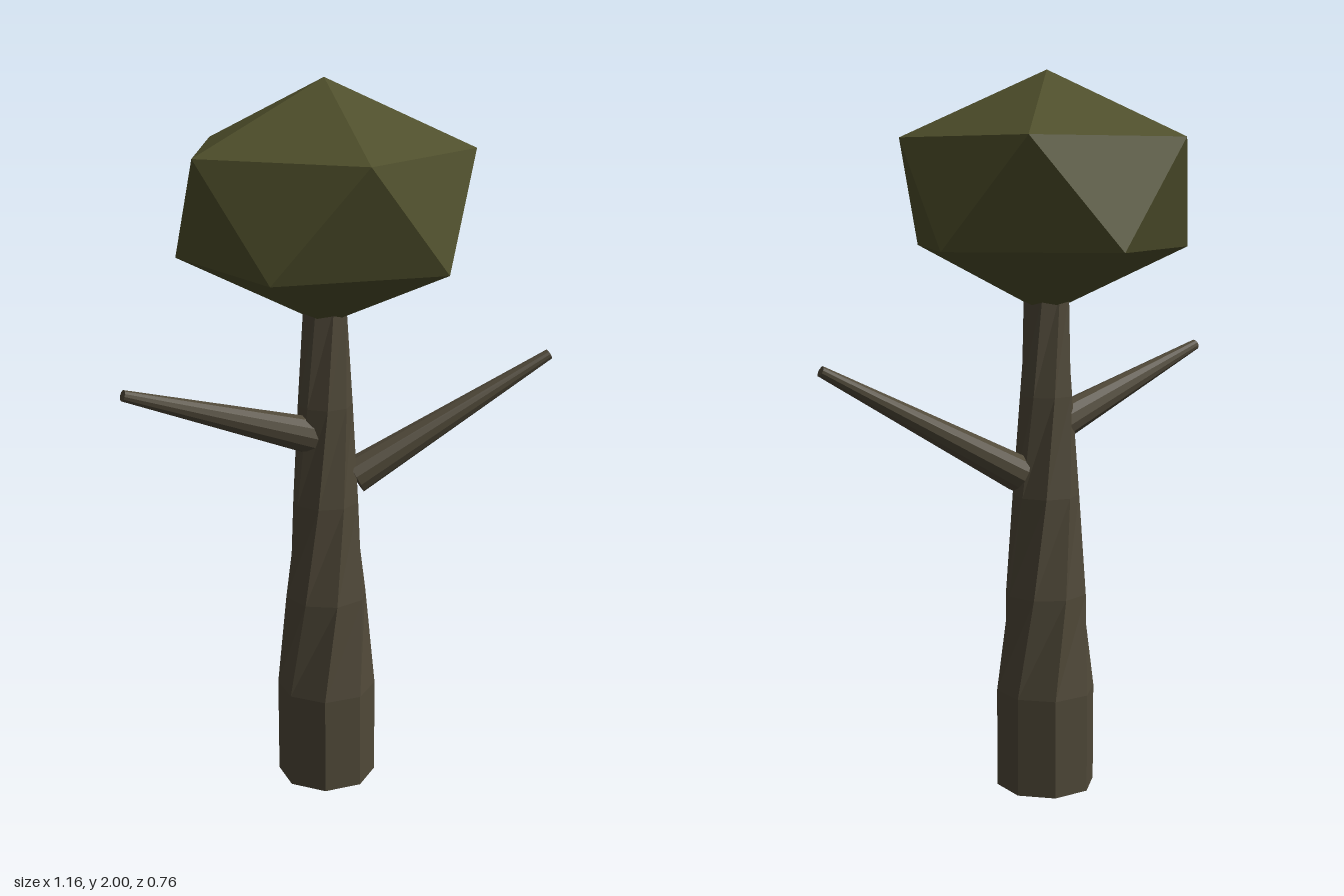
import * as THREE from 'three';

const bark = new THREE.MeshStandardMaterial({ color: 0x4f4838, flatShading: true });
const foliage = new THREE.MeshStandardMaterial({ color: 0x4f4f2b, flatShading: true });
const TRUNK_X = -0.06;

function addMesh(group, name, geometry, material) {
  const mesh = new THREE.Mesh(geometry, material);
  mesh.name = name;
  group.add(mesh);
  return mesh;
}

// Octagonal trunk: evenly spaced rings that taper and twist above the base
function trunkGeometry() {
  const height = 1.4;
  const radii = [0.14, 0.14, 0.117, 0.093, 0.076, 0.063];
  const geometry = new THREE.CylinderGeometry(1, 1, height, 8, radii.length - 1);
  geometry.translate(0, height / 2, 0);
  const position = geometry.attributes.position;
  const axis = new THREE.Vector3(0, 1, 0);
  const v = new THREE.Vector3();
  for (let i = 0; i < position.count; i++) {
    v.fromBufferAttribute(position, i);
    const y = v.y;
    const ring = Math.round((y / height) * (radii.length - 1));
    v.setY(0).multiplyScalar(radii[ring]);
    v.applyAxisAngle(axis, 0.3 * Math.max(0, ring - 1));
    position.setXYZ(i, v.x, y, v.z);
  }
  geometry.computeVertexNormals();
  return geometry;
}

// Tapered branch running from its base to its tip
function addBranch(group, name, base, tip) {
  const start = new THREE.Vector3(...base);
  const direction = new THREE.Vector3(...tip).sub(start);
  const length = direction.length();
  const geometry = new THREE.CylinderGeometry(0.015, 0.052, length, 12);
  geometry.translate(0, length / 2, 0);
  const branch = addMesh(group, name, geometry, bark);
  branch.position.copy(start);
  branch.quaternion.setFromUnitVectors(new THREE.Vector3(0, 1, 0), direction.normalize());
}

export function createModel() {
  const tree = new THREE.Group();
  tree.name = 'tree';

  addMesh(tree, 'trunk', trunkGeometry(), bark).position.x = TRUNK_X;

  addBranch(tree, 'leftBranch', [0.02, 0.905, -0.02], [0.57, 1.22, -0.172]);
  addBranch(tree, 'rightBranch', [-0.095, 1.035, 0.02], [-0.573, 1.222, 0.285]);

  // Crown: flattened icosahedron standing on one corner
  const crown = new THREE.IcosahedronGeometry(0.4475, 0);
  crown.rotateZ(-Math.atan(2 / (1 + Math.sqrt(5))));
  crown.scale(1, 0.732, 1);
  addMesh(tree, 'crown', crown, foliage).position.set(TRUNK_X, 1.6725, 0);

  return tree;
}
